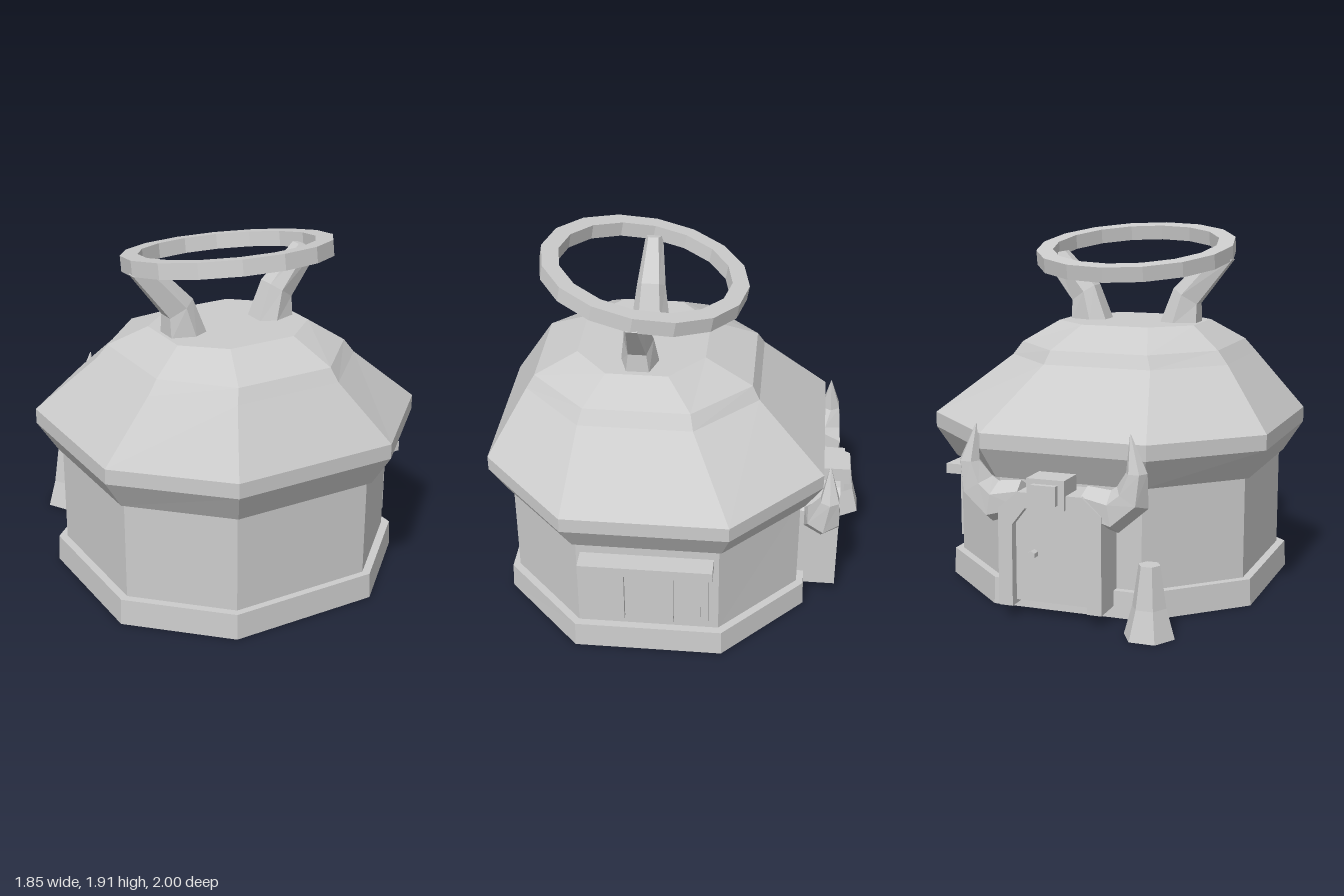
import * as THREE from 'three';

const V = (x, y, z) => new THREE.Vector3(x, y, z);

// Skin between rings of equal length (counter-clockwise seen from the last ring)
function loft(rings, capped = true) {
  const out = [];
  const tri = (...pts) => pts.forEach(p => out.push(p.x, p.y, p.z));
  const n = rings[0].length;
  for (let r = 0; r < rings.length - 1; r++) {
    const a = rings[r], b = rings[r + 1];
    for (let i = 0; i < n; i++) {
      const j = (i + 1) % n;
      tri(a[i], a[j], b[j]);
      tri(a[i], b[j], b[i]);
    }
  }
  if (capped) {
    const a = rings[0], b = rings[rings.length - 1];
    for (let i = 1; i < n - 1; i++) {
      tri(a[0], a[i + 1], a[i]);
      tri(b[0], b[i], b[i + 1]);
    }
  }
  const g = new THREE.BufferGeometry();
  g.setAttribute('position', new THREE.Float32BufferAttribute(out, 3));
  g.computeVertexNormals();
  return g;
}

// Octagon with separate x and z half widths
const K = 0.48;
const octagon = ([y, rx, rz, cx = 0, cz = 0.12]) =>
  [[1, K], [1, -K], [K, -1], [-K, -1], [-1, -K], [-1, K], [-K, 1], [K, 1]]
    .map(([x, z]) => V(cx + x * rx, y, cz + z * rz));

// Regular horizontal polygon
const polygon = (n, r, y, cx = 0, cz = 0) =>
  Array.from({ length: n }, (_, i) => {
    const a = (i / n) * Math.PI * 2;
    return V(cx + r * Math.cos(a), y, cz - r * Math.sin(a));
  });

// Mirror rings across the plane x = c, keeping them outward facing
const mirrorRings = (rings, c, side) => rings.map(ring => {
  const m = ring.map(p => V(c + side * p.x, p.y, p.z));
  return side < 0 ? m.reverse() : m;
});

export function createModel() {
  const model = new THREE.Group();
  const grey = new THREE.MeshStandardMaterial({ color: 0xcccccc });
  grey.name = 'light grey';
  grey.flatShading = true;

  const add = (name, geometry, parent = model) => {
    const mesh = new THREE.Mesh(geometry, grey);
    mesh.name = name;
    parent.add(mesh);
    return mesh;
  };
  const box = (name, x0, x1, y0, y1, z0, z1, parent) => {
    const m = add(name, new THREE.BoxGeometry(x1 - x0, y1 - y0, z1 - z0), parent);
    m.position.set((x0 + x1) / 2, (y0 + y1) / 2, (z0 + z1) / 2);
    return m;
  };

  // Octagonal body on a base that is hollow underneath
  add('base', loft([
    [0.136, 0.839, 0.802], [0, 0.845, 0.807], [0, 0.848, 0.81], [0.14, 0.842, 0.805],
  ].map(octagon)));
  add('walls', loft([[0.138, 0.8, 0.768], [0.7, 0.803, 0.768]].map(octagon)));

  // Roof with its crown pushed off centre
  add('roof', loft([
    [0.67, 0.825, 0.795],
    [0.83, 0.925, 0.88],
    [0.91, 0.925, 0.88],
    [1.22, 0.607, 0.61, -0.052, 0.202],
    [1.29, 0.553, 0.57, -0.048, 0.2],
    [1.4, 0.385, 0.335, -0.045, 0.215],
  ].map(octagon)));

  // Tilted ring
  const ring = add('topRing', loft([
    polygon(16, 0.545, -0.04), polygon(16, 0.545, 0.04),
    polygon(16, 0.455, 0.04), polygon(16, 0.455, -0.04), polygon(16, 0.545, -0.04),
  ], false));
  ring.position.set(-0.05, 1.777, 0.215);
  ring.rotation.x = -0.172;

  // Bent six-sided arms that carry the ring: [inner x, inner y, outer x, outer y, half width]
  const armRings = [
    [0.155, 1.39, 0.36, 1.39, 0.1],
    [0.23, 1.585, 0.36, 1.5, 0.078],
    [0.41, 1.77, 0.548, 1.742, 0.047],
  ].map(([ix, iy, ox, oy, w]) => {
    const mx = ix * 0.6 + ox * 0.4, my = iy * 0.6 + oy * 0.4, z = 0.215;
    return [V(ox, oy, z + w * 0.6), V(ox, oy, z - w * 0.6), V(mx, my, z - w),
      V(ix, iy, z - w * 0.6), V(ix, iy, z + w * 0.6), V(mx, my, z + w)];
  });
  for (const side of [1, -1])
    add(side > 0 ? 'leftArm' : 'rightArm', loft(mirrorRings(armRings, -0.05, side)));

  // Window on the left wall
  const win = new THREE.Group();
  win.name = 'window';
  model.add(win);
  box('windowFrame', 0.78, 0.838, 0.2, 0.555, -0.198, 0.445, win);
  box('windowPanel', 0.8, 0.853, 0.25, 0.51, -0.158, 0.4, win);
  box('windowHeader', 0.78, 0.913, 0.55, 0.605, -0.222, 0.467, win);
  for (const z of [0.25, -0.005])
    box('windowBar', 0.83, 0.882, 0.235, 0.525, z - 0.015, z + 0.015, win);

  // Door on the back wall
  const door = new THREE.Group();
  door.name = 'door';
  door.position.x = 0.025;
  model.add(door);
  const outline = [[-0.275, 0.06], [-0.2, 0.06], [-0.2, 0.48], [-0.13, 0.57], [0.13, 0.57],
    [0.2, 0.48], [0.2, 0.06], [0.275, 0.06], [0.275, 0.56], [0.17, 0.65], [-0.17, 0.65], [-0.275, 0.56]];
  const frame = add('doorFrame', new THREE.ExtrudeGeometry(
    new THREE.Shape(outline.map(p => new THREE.Vector2(...p))),
    { depth: 0.22, bevelEnabled: false }), door);
  frame.position.z = -0.86;
  box('doorPanel', -0.21, 0.21, 0.08, 0.58, -0.81, -0.64, door);
  const knob = add('doorKnob', new THREE.CylinderGeometry(0.022, 0.022, 0.05, 6), door);
  knob.rotation.x = Math.PI / 2;
  knob.position.set(0.1, 0.33, -0.83);
  box('doorLamp', -0.09, 0.11, 0.58, 0.73, -0.88, -0.72, door);
  box('doorLampFace', -0.055, 0.075, 0.605, 0.705, -0.91, -0.87, door);

  // Horns curving out and up beside the door: [x, y, z, radius]
  const hornPath = [[0.16, 0.605, -0.765, 0.085], [0.32, 0.57, -0.765, 0.108],
    [0.415, 0.65, -0.77, 0.095], [0.445, 0.78, -0.797, 0.055], [0.41, 0.965, -0.79, 0.003]];
  const hornRings = hornPath.map(([x, y, z, r], i) => {
    const a = hornPath[Math.max(i - 1, 0)], b = hornPath[Math.min(i + 1, hornPath.length - 1)];
    const t = new THREE.Vector2(b[0] - a[0], b[1] - a[1]).normalize();
    return Array.from({ length: 6 }, (_, k) => {
      const f = ((k + 0.5) / 6) * Math.PI * 2, c = r * Math.cos(f), s = r * Math.sin(f);
      return V(x + t.y * s, y - t.x * s, z + c);
    });
  });
  for (const side of [1, -1])
    add(side > 0 ? 'leftHorn' : 'rightHorn', loft(mirrorRings(hornRings, 0.01, side)), door);

  // Small tapered post beside the door
  add('bollard', loft([[0, 0.13], [0.15, 0.087], [0.36, 0.055]]
    .map(([y, r]) => polygon(6, r, y, -0.507, -0.887))));

  return model;
}
